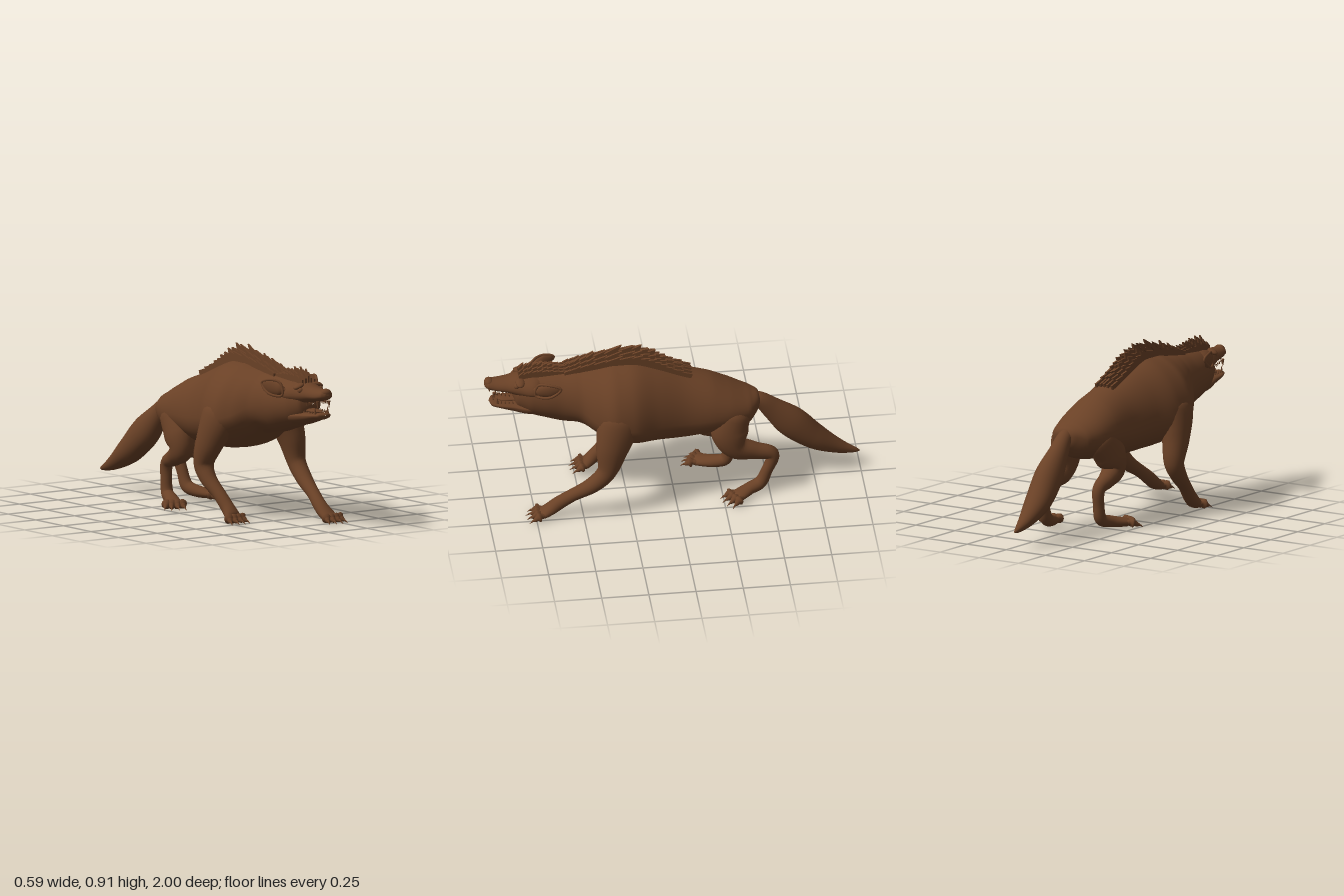
import * as THREE from 'three';

const fur = new THREE.MeshStandardMaterial({ color: 0x6a4126 });
fur.name = 'brown fur';

// Smooth loft through sections [x, y, z, halfWidth, up, down]; rings follow the path, or stay upright
function loft(secs, { upright = false, sides = 28, steps = 6 } = {}) {
  const path = new THREE.CatmullRomCurve3(secs.map(s => new THREE.Vector3(s[0], s[1], s[2])));
  const size = new THREE.CatmullRomCurve3(secs.map(s => new THREE.Vector3(s[3], s[4] ?? s[3], s[5] ?? s[4] ?? s[3])));
  const n = (secs.length - 1) * steps, pos = [], idx = [];
  for (let i = 0; i <= n; i++) {
    const p = path.getPoint(i / n), r = size.getPoint(i / n);
    const t = upright ? new THREE.Vector3(0, 0, 1) : path.getTangent(i / n);
    const side = new THREE.Vector3(1, 0, 0).addScaledVector(t, -t.x).normalize();
    const up = new THREE.Vector3().crossVectors(t, side);
    for (let j = 0; j < sides; j++) {
      const a = j / sides * Math.PI * 2, s = Math.sin(a);
      const q = p.clone().addScaledVector(side, Math.cos(a) * Math.max(r.x, 0.0005))
        .addScaledVector(up, s * Math.max(s > 0 ? r.y : r.z, 0.0005));
      pos.push(q.x, q.y, q.z);
      if (i < n) {
        const a0 = i * sides + j, a1 = i * sides + (j + 1) % sides;
        idx.push(a0, a1, a1 + sides, a0, a1 + sides, a0 + sides);
      }
    }
  }
  const g = new THREE.BufferGeometry();
  g.setAttribute('position', new THREE.Float32BufferAttribute(pos, 3));
  g.setIndex(idx);
  g.computeVertexNormals();
  return g;
}

function add(parent, name, geo, x = 0, y = 0, z = 0) {
  const m = new THREE.Mesh(geo, fur);
  m.name = name;
  m.position.set(x, y, z);
  parent.add(m);
  return m;
}

// Leg with four clawed toes fanned from the ball of the foot
function addLeg(parent, name, secs, yaw) {
  const leg = new THREE.Group();
  leg.name = name;
  parent.add(leg);
  add(leg, 'limb', loft(secs, { sides: 20 }));
  const [x, , z] = secs[secs.length - 2];
  const foot = new THREE.Group();
  foot.name = 'toes';
  foot.position.set(x, 0, z);
  foot.rotation.y = yaw;
  leg.add(foot);
  for (let i = 0; i < 4; i++) {
    const k = i - 1.5, reach = 1 - Math.abs(k) * 0.1;
    const toe = loft([[0, 0.03, -0.02, 0.012], [0, 0.032, 0.01, 0.016], [0, 0.026, 0.035, 0.016],
      [0, 0.018, 0.052, 0.011], [0, 0.017, 0.062, 0.006], [0, 0.003, 0.088, 0.0005]], { sides: 10, steps: 3 });
    const m = add(foot, 'toe', toe, k * 0.024, 0, 0);
    m.rotation.y = k * 0.2;
    m.scale.z = reach;
  }
}

// Jagged strip of hair; line holds [z, base y, top y] from front to back
function hairStrip(line, x, scale, count) {
  const curve = new THREE.CatmullRomCurve3(line.map(([z, b, t]) => new THREE.Vector3(z, b, t)));
  const top = [], bottom = [];
  for (let i = 0; i < count; i++) {
    const a = curve.getPoint(i / count), b = curve.getPoint((i + 1) / count);
    const h = (a.z - a.y) * scale;
    top.push([a.x, a.y + h * 0.65], [b.x + (b.x - a.x) * 0.25, b.y + (b.z - b.y) * scale * (i % 2 ? 0.9 : 1.05)]);
    bottom.unshift([a.x, a.y - 0.035]);
  }
  const e = line[line.length - 1];
  const shape = new THREE.Shape([...top, [e[0], e[1] - 0.02], ...bottom].map(p => new THREE.Vector2(...p)));
  const g = new THREE.ExtrudeGeometry(shape, { depth: 0.01, bevelEnabled: false });
  g.translate(0, 0, -0.005);
  g.rotateY(-Math.PI / 2);
  g.translate(x, 0, 0);
  return g;
}

export function createModel() {
  const beast = new THREE.Group();
  beast.name = 'beast';

  // Torso, neck and back of the skull
  add(beast, 'body', loft([
    [0, 0.52, -0.47, 0.005], [0, 0.52, -0.45, 0.06, 0.04, 0.06], [0, 0.50, -0.40, 0.12, 0.085, 0.1],
    [0, 0.50, -0.30, 0.155, 0.135, 0.13], [0, 0.50, -0.20, 0.168, 0.185, 0.14],
    [0, 0.50, -0.05, 0.178, 0.235, 0.155], [0, 0.52, 0.10, 0.215, 0.275, 0.17],
    [0, 0.53, 0.22, 0.26, 0.30, 0.17], [0, 0.54, 0.32, 0.268, 0.29, 0.16],
    [0, 0.57, 0.42, 0.22, 0.245, 0.13], [0, 0.62, 0.50, 0.165, 0.185, 0.14],
    [0, 0.64, 0.60, 0.137, 0.155, 0.15], [0, 0.65, 0.68, 0.126, 0.14, 0.135],
    [0, 0.66, 0.76, 0.108, 0.125, 0.12], [0, 0.67, 0.83, 0.07, 0.08, 0.08], [0, 0.67, 0.855, 0.005],
  ], { upright: true, sides: 40 }));

  // Tail
  add(beast, 'tail', loft([
    [0, 0.53, -0.41, 0.03], [0, 0.51, -0.46, 0.04], [-0.008, 0.44, -0.53, 0.052, 0.06],
    [-0.02, 0.33, -0.64, 0.072, 0.085], [-0.035, 0.22, -0.76, 0.07, 0.068],
    [-0.045, 0.14, -0.89, 0.04, 0.036], [-0.05, 0.105, -0.98, 0.012, 0.012], [-0.05, 0.10, -1, 0.001],
  ]));

  // Legs
  addLeg(beast, 'leftFrontLeg', [
    [0.15, 0.66, 0.29, 0.02], [0.185, 0.56, 0.31, 0.088, 0.11, 0.12], [0.222, 0.42, 0.345, 0.07, 0.09, 0.09],
    [0.238, 0.28, 0.375, 0.048, 0.055, 0.05], [0.235, 0.2, 0.45, 0.043], [0.22, 0.13, 0.56, 0.034],
    [0.21, 0.08, 0.63, 0.036], [0.212, 0.045, 0.68, 0.044, 0.032, 0.03], [0.215, 0.028, 0.72, 0.046, 0.022, 0.024],
    [0.215, 0.024, 0.75, 0.01, 0.008]], 0);
  addLeg(beast, 'rightFrontLeg', [
    [-0.15, 0.66, 0.29, 0.02], [-0.185, 0.56, 0.29, 0.088, 0.11, 0.12], [-0.225, 0.42, 0.24, 0.07, 0.09, 0.08],
    [-0.24, 0.29, 0.205, 0.054, 0.055, 0.05], [-0.24, 0.22, 0.245, 0.044], [-0.225, 0.14, 0.33, 0.035],
    [-0.215, 0.08, 0.385, 0.036], [-0.213, 0.045, 0.42, 0.044, 0.032, 0.03], [-0.215, 0.028, 0.44, 0.046, 0.022, 0.024],
    [-0.215, 0.024, 0.465, 0.01, 0.008]], 0);
  addLeg(beast, 'leftHindLeg', [
    [0.08, 0.54, -0.32, 0.03], [0.095, 0.48, -0.31, 0.07, 0.1, 0.09], [0.11, 0.39, -0.29, 0.072, 0.1, 0.1],
    [0.115, 0.3, -0.325, 0.062, 0.075, 0.065], [0.115, 0.265, -0.42, 0.045, 0.05, 0.045],
    [0.112, 0.23, -0.515, 0.035, 0.035, 0.036], [0.115, 0.13, -0.485, 0.03], [0.12, 0.06, -0.45, 0.034],
    [0.14, 0.038, -0.39, 0.038, 0.032, 0.03], [0.185, 0.028, -0.32, 0.046, 0.022, 0.024],
    [0.2, 0.024, -0.295, 0.01, 0.008]], 0.5);
  addLeg(beast, 'rightHindLeg', [
    [-0.08, 0.54, -0.29, 0.03], [-0.095, 0.48, -0.26, 0.07, 0.1, 0.1], [-0.11, 0.39, -0.2, 0.072, 0.1, 0.1],
    [-0.115, 0.31, -0.18, 0.062, 0.075, 0.06], [-0.115, 0.265, -0.23, 0.048, 0.05, 0.045],
    [-0.113, 0.22, -0.305, 0.034, 0.034, 0.036], [-0.115, 0.13, -0.31, 0.03], [-0.118, 0.06, -0.295, 0.033],
    [-0.138, 0.038, -0.23, 0.038, 0.032, 0.03], [-0.18, 0.028, -0.15, 0.046, 0.022, 0.024],
    [-0.195, 0.024, -0.125, 0.01, 0.008]], -0.5);

  // Muzzle, lower jaw, tongue and nose
  const head = new THREE.Group();
  head.name = 'head';
  beast.add(head);
  add(head, 'muzzle', loft([
    [0, 0.71, 0.66, 0.06], [0, 0.71, 0.74, 0.112, 0.075, 0.05], [0, 0.715, 0.82, 0.085, 0.062, 0.05],
    [0, 0.718, 0.88, 0.062, 0.045, 0.035], [0, 0.72, 0.94, 0.048, 0.038, 0.026],
    [0, 0.728, 0.98, 0.038, 0.03, 0.024], [0, 0.73, 0.995, 0.02, 0.016], [0, 0.73, 1, 0.001]], { upright: true }));
  add(head, 'lowerJaw', loft([
    [0, 0.61, 0.68, 0.06], [0, 0.6, 0.76, 0.092, 0.03, 0.055], [0, 0.608, 0.85, 0.07, 0.02, 0.042],
    [0, 0.616, 0.92, 0.06, 0.015, 0.026], [0, 0.62, 0.96, 0.042, 0.013, 0.02], [0, 0.622, 0.975, 0.002]],
  { upright: true }));
  add(head, 'tongue', loft([[0, 0.635, 0.8, 0.035, 0.012], [0, 0.634, 0.9, 0.032, 0.01],
    [0, 0.636, 0.94, 0.002]], { upright: true, sides: 14 }));
  add(head, 'nose', new THREE.SphereGeometry(0.028, 20, 14), 0, 0.742, 0.974).scale.set(1.1, 0.8, 0.9);

  for (const s of [-1, 1]) {
    // Eyes under heavy brows
    add(head, 'eye', new THREE.SphereGeometry(0.016, 16, 12), s * 0.063, 0.742, 0.833);
    const brow = add(head, 'brow', new THREE.SphereGeometry(0.03, 18, 12), s * 0.062, 0.763, 0.815);
    brow.scale.set(1.1, 0.45, 0.8);
    brow.rotation.z = -s * 0.35;

    // Laid-back ears with raised rims
    add(head, 'ear', loft([[s * 0.095, 0.735, 0.75, 0.006], [s * 0.115, 0.738, 0.715, 0.018, 0.034],
      [s * 0.134, 0.748, 0.67, 0.016, 0.04], [s * 0.148, 0.76, 0.63, 0.009, 0.024],
      [s * 0.153, 0.765, 0.605, 0.001]], { sides: 18 }));
    const rim = new THREE.CatmullRomCurve3([[0.115, 0.71, 0.74], [0.118, 0.775, 0.725], [0.144, 0.787, 0.67],
      [0.154, 0.765, 0.61], [0.15, 0.715, 0.665]].map(([x, y, z]) => new THREE.Vector3(s * x, y, z)), true);
    add(head, 'earRim', new THREE.TubeGeometry(rim, 36, 0.007, 8, true));

    // Fangs and small teeth
    for (let i = 0; i < 6; i++) {
      const fang = i === 1, h = fang ? 0.045 : 0.018, r = fang ? 0.008 : 0.005;
      const z = 0.972 - i * 0.02, x = s * (0.01 + Math.min(i, 1) * 0.024 + i * 0.003);
      const upper = add(head, 'upperTooth', new THREE.ConeGeometry(r, h, 8), x, 0.698 - i * 0.003 - h / 2, z);
      upper.rotation.x = Math.PI;
      add(head, 'lowerTooth', new THREE.ConeGeometry(r, h * 0.85, 8), x * 1.1, 0.628 + h * 0.4, z - 0.018);
    }
  }

  // Ragged mane on the head and along the back
  const mane = new THREE.Group();
  mane.name = 'mane';
  beast.add(mane);
  const crown = [[0.82, 0.765, 0.84], [0.75, 0.78, 0.85], [0.67, 0.785, 0.84], [0.58, 0.79, 0.81]];
  const back = [[0.58, 0.79, 0.815], [0.51, 0.80, 0.85], [0.41, 0.81, 0.885], [0.22, 0.825, 0.915],
    [0.11, 0.80, 0.875], [0.03, 0.765, 0.815], [-0.09, 0.725, 0.74]];
  for (const [x, k] of [[0, 1], [-0.022, 0.75], [0.022, 0.75], [-0.05, 0.6], [0.05, 0.6]]) {
    add(mane, 'crownHair', hairStrip(crown, x * 0.8, k, 9));
    add(mane, 'backHair', hairStrip(back, x, k, 16));
  }
  return beast;
}
